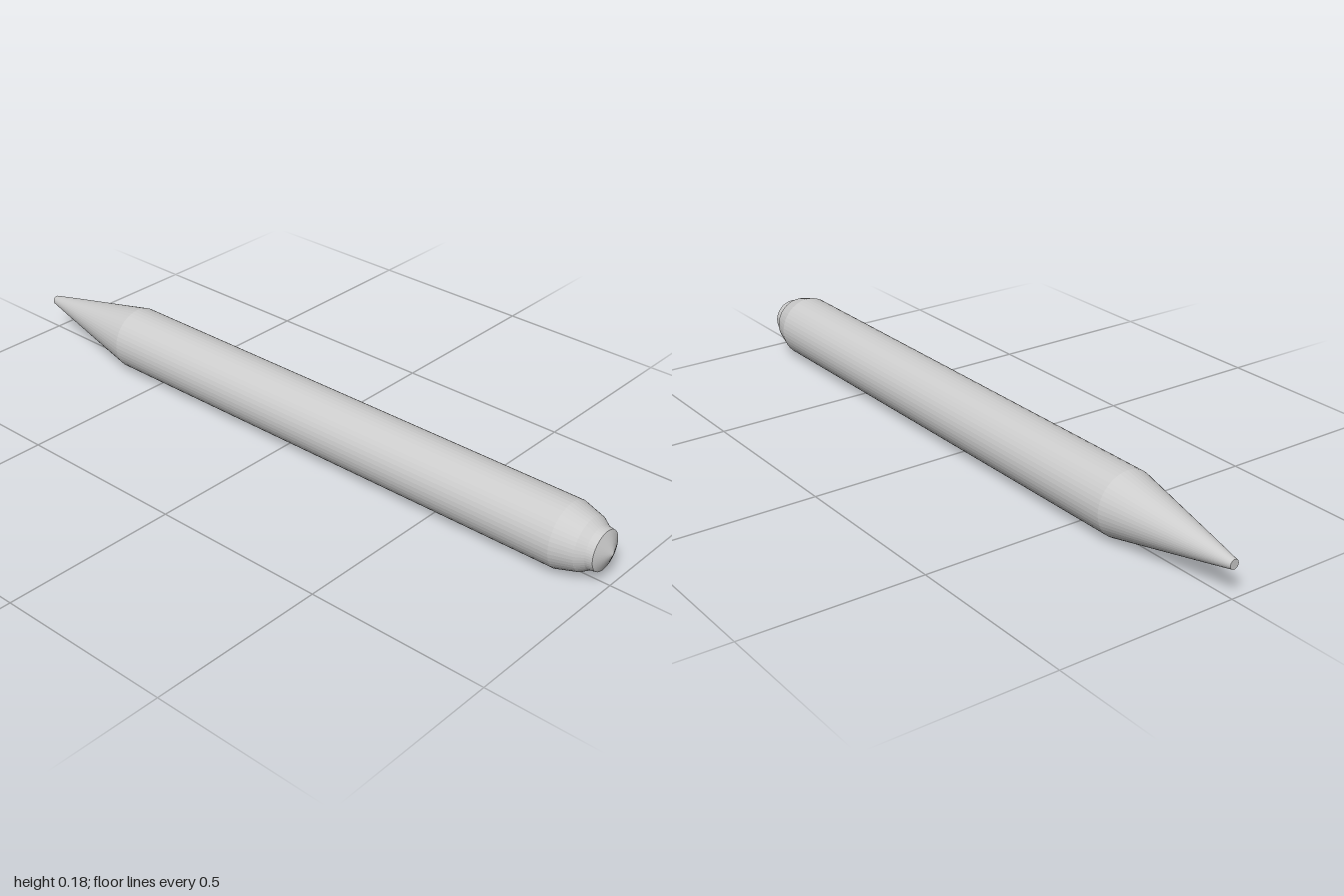
import * as THREE from 'three';

const RADIUS = 0.09;
const SIDES = 48;

export function createModel() {
  const model = new THREE.Group();
  model.name = 'pen';

  const grey = new THREE.MeshStandardMaterial({ color: 0xcccccc });
  grey.name = 'light grey';

  // Turned part from [x, radius] points along the pen, with faceted sides
  function turned(name, points) {
    const profile = points.map(([x, r]) => new THREE.Vector2(r, x));
    const geometry = new THREE.LatheGeometry(profile, SIDES).toNonIndexed();
    geometry.computeVertexNormals();
    geometry.rotateZ(-Math.PI / 2);
    geometry.translate(0, RADIUS, 0);
    const mesh = new THREE.Mesh(geometry, grey);
    mesh.name = name;
    model.add(mesh);
  }

  // Writing end: blunt point and long cone
  turned('writingTip', [[-1, 0], [-1, 0.013], [-0.92, 0.03]]);
  turned('taperedCone', [[-0.92, 0.03], [-0.63, RADIUS]]);

  // Straight barrel
  turned('barrel', [[-0.63, RADIUS], [0.875, RADIUS]]);

  // Rear end: shoulder, stepped collar and push button with a shallow point
  turned('shoulder', [[0.875, RADIUS], [0.935, 0.073]]);
  turned('collar', [[0.935, 0.073], [0.957, 0.058]]);
  turned('button', [[0.957, 0.058], [0.977, 0.055], [1, 0]]);

  return model;
}
